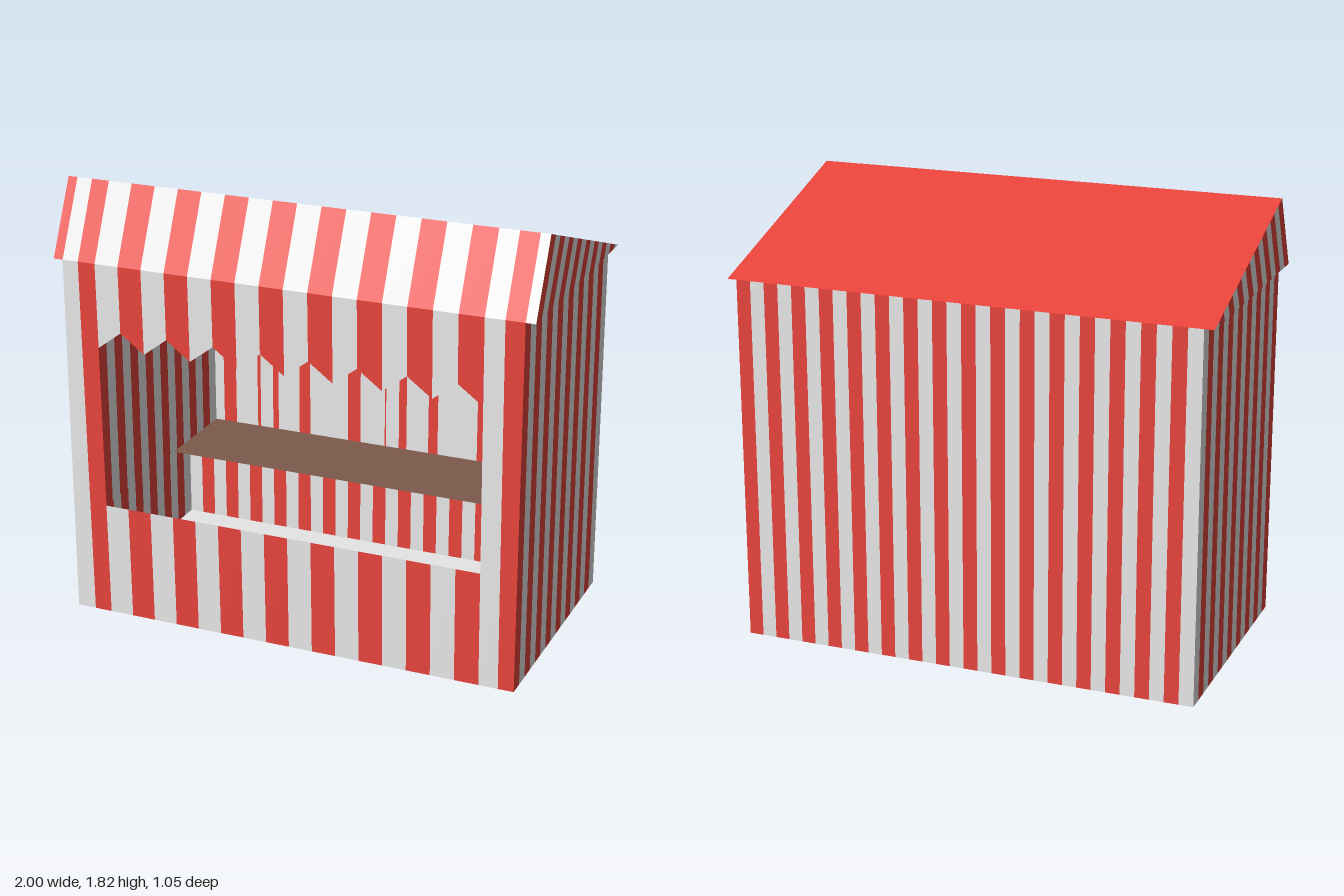
import * as THREE from 'three';

const flat = (name, color) => {
  const m = new THREE.MeshStandardMaterial({ color, side: THREE.DoubleSide });
  m.name = name;
  return m;
};

export function createModel() {
  const white = flat('white', 0xe6e6e6);
  const red = flat('red', 0xe6433b);
  const brown = flat('brown', 0x7d5a4b);
  const group = new THREE.Group();

  // Striped surface: one quad per stripe between a lower and an upper edge
  function stripes(name, count, lower, upper, redFirst, from = 0) {
    const pos = [];
    const geo = new THREE.BufferGeometry();
    for (let i = from; i < count; i++) {
      const a = lower(i), b = lower(i + 1), c = upper(i + 1), d = upper(i);
      pos.push(...a, ...b, ...c, ...a, ...c, ...d);
      geo.addGroup((i - from) * 6, 6, (i % 2 === 0) === redFirst ? 0 : 1);
    }
    geo.setAttribute('position', new THREE.Float32BufferAttribute(pos, 3));
    geo.computeVertexNormals();
    const mesh = new THREE.Mesh(geo, [red, white]);
    mesh.name = name;
    group.add(mesh);
  }

  // Plain four-cornered surface
  function quad(name, material, a, b, c, d) {
    const geo = new THREE.BufferGeometry();
    geo.setAttribute('position', new THREE.Float32BufferAttribute([...a, ...b, ...c, ...a, ...c, ...d], 3));
    geo.computeVertexNormals();
    const mesh = new THREE.Mesh(geo, material);
    mesh.name = name;
    group.add(mesh);
  }

  const W = 0.96, D = 0.525, H = 1.515;          // walls
  const RW = 1, RY = 1.815, RZ = 0.38;           // roof half width and ridge
  const sill = 0.48, valley = 1.165, peak = 1.24; // front opening

  // Front stripe boundaries: narrow ones at the ends, even ones over the opening
  const edges = [-W, -0.885];
  for (let i = 0; i <= 16; i++) edges.push(-0.81 + i * 0.10125);
  edges.push(0.89, W);
  const last = edges.length - 1;
  const lean = (i, y) => (i === 0 || i === last) ? edges[i] : edges[i] + 0.005 - 0.008 * y;
  const front = y => i => [lean(i, y), y, D];
  const scallop = i => {
    const y = i % 2 === 0 ? valley : peak;
    return [lean(i, y), y, D];
  };

  // Front wall: base, side posts and scalloped valance
  stripes('frontBase', last, front(0), front(sill), false);
  stripes('frontPostRight', 2, front(sill), front(valley), false);
  stripes('frontPostLeft', last, front(sill), front(valley), false, 18);
  stripes('postTopRight', 2, front(valley), front(H), false);
  stripes('postTopLeft', last, front(valley), front(H), false, 18);
  stripes('valance', 18, scallop, front(H), false, 2);

  // Side walls, inner partitions and roof gables
  const sideZ = i => D - (i / 16) * 2 * D;
  const innerZ = i => D - (i / 16) * 1.035;
  for (const [s, label] of [[1, 'Left'], [-1, 'Right']]) {
    stripes('sideWall' + label, 16, i => [s * W, 0, sideZ(i)], i => [s * W, H, sideZ(i)], true);
    stripes('innerPartition' + label, 16,
      i => [s * 0.815, sill, innerZ(i)], i => [s * 0.815, valley, innerZ(i)], true);
    stripes('gable' + label, 16, i => [s * RW, H, sideZ(i)],
      i => [s * RW, RY - (i / 16) * (RY - H), RZ - (i / 16) * (RZ + D)], true);
  }

  // Back wall
  const backX = i => -W + i * 0.06;
  stripes('backWall', 32, i => [backX(i), 0, -D], i => [backX(i), H, -D], false);

  // Floor
  quad('floor', white, [-W, 0, D], [W, 0, D], [W, 0, -D], [-W, 0, -D]);

  // Roof: striped front awning, plain rear slope, underside
  const roofEdges = [-RW, ...edges, RW];
  const roofX = (i, y) => (i > 1 && i < last + 1) ? lean(i - 1, y) : roofEdges[i];
  stripes('roofFront', roofEdges.length - 1,
    i => [roofX(i, H), H, D], i => [roofX(i, RY), RY, RZ], true);
  quad('roofSlope', red, [-RW, RY, RZ], [RW, RY, RZ], [RW, H, -D], [-RW, H, -D]);
  quad('roofUnderside', red, [-RW, H, -D], [RW, H, -D], [RW, H, D], [-RW, H, D]);

  // Counter inside and the upright boards behind it
  quad('counter', brown, [-0.815, sill, -0.09], [0.815, sill, -0.09], [0.815, sill, -0.51], [-0.815, sill, -0.51]);
  for (let i = 0; i < 7; i++) {
    const x0 = edges[3 + i * 2], x1 = edges[4 + i * 2];
    quad('backBoard', white, [x0, sill, -0.51], [x1, sill, -0.51], [x1, valley, -0.51], [x0, valley, -0.51]);
  }
  return group;
}
